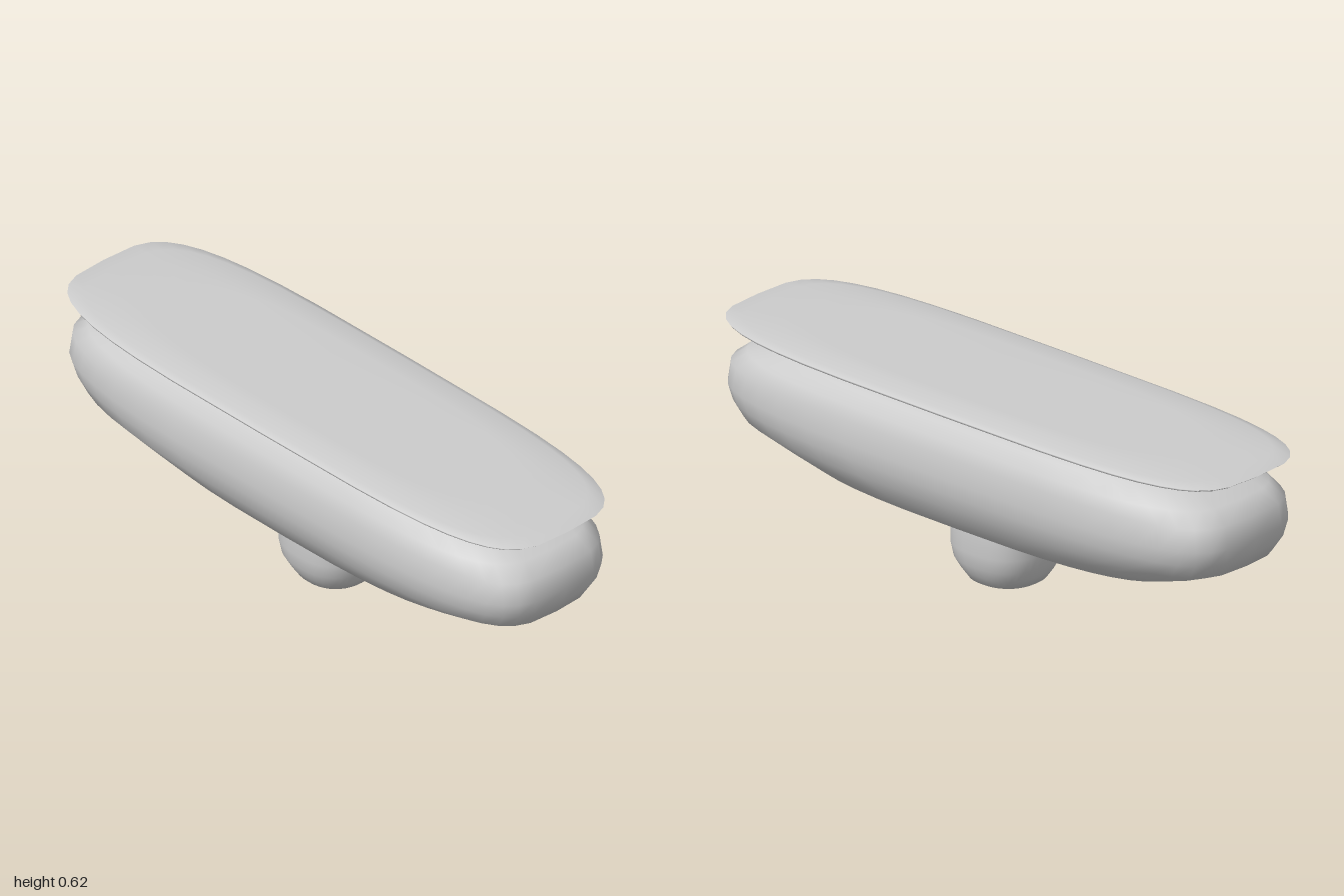
import * as THREE from 'three';

const SEGMENTS = 40;

// Stacks superellipse rings [y, halfX, halfZ, exponent] from bottom to top and closes both ends.
function loft(name, rings) {
  const positions = [], index = [];
  for (const [y, hx, hz, n] of rings) {
    for (let j = 0; j < SEGMENTS; j++) {
      const a = (j / SEGMENTS) * Math.PI * 2;
      const c = Math.cos(a), s = Math.sin(a);
      positions.push(
        hx * Math.sign(c) * Math.abs(c) ** (2 / n), y,
        hz * Math.sign(s) * Math.abs(s) ** (2 / n));
    }
  }
  for (let i = 0; i < rings.length - 1; i++) {
    for (let j = 0; j < SEGMENTS; j++) {
      const k = (j + 1) % SEGMENTS;
      const a = i * SEGMENTS + j, b = i * SEGMENTS + k;
      const c = a + SEGMENTS, d = b + SEGMENTS;
      index.push(a, c, b, b, c, d);
    }
  }
  // End faces
  const last = (rings.length - 1) * SEGMENTS;
  const bottom = positions.length / 3, top = bottom + 1;
  positions.push(0, rings[0][0], 0, 0, rings[rings.length - 1][0], 0);
  for (let j = 0; j < SEGMENTS; j++) {
    const k = (j + 1) % SEGMENTS;
    index.push(bottom, j, k, top, last + k, last + j);
  }
  const geometry = new THREE.BufferGeometry();
  geometry.setAttribute('position', new THREE.Float32BufferAttribute(positions, 3));
  geometry.setIndex(index);
  geometry.computeVertexNormals();
  const mesh = new THREE.Mesh(geometry, new THREE.MeshStandardMaterial({ color: 0xcccccc }));
  mesh.name = name;
  return mesh;
}

export function createModel() {
  const model = new THREE.Group();
  model.name = 'model';

  // Short foot, narrowing to the ground
  model.add(loft('foot', [
    [0, 0.113, 0.113, 2.3],
    [0.03, 0.132, 0.132, 2.4],
    [0.065, 0.15, 0.15, 2.5],
    [0.11, 0.157, 0.157, 2.6],
    [0.17, 0.157, 0.157, 2.6],
    [0.23, 0.154, 0.154, 2.6],
  ]));

  // Long pillowy body with a flat underside
  model.add(loft('body', [
    [0.208, 0.215, 0.72, 3],
    [0.25, 0.245, 0.84, 3.2],
    [0.3, 0.278, 0.95, 3.6],
    [0.35, 0.291, 0.98, 3.8],
    [0.4, 0.298, 0.99, 4],
    [0.47, 0.291, 0.98, 4],
    [0.51, 0.274, 0.93, 3.8],
    [0.55, 0.247, 0.82, 3.4],
    [0.587, 0.208, 0.67, 3],
  ]));

  // Thin lid with a tapered rim
  model.add(loft('lid', [
    [0.584, 0.215, 0.72, 3.4],
    [0.588, 0.265, 0.88, 3.8],
    [0.597, 0.294, 0.99, 4],
    [0.604, 0.296, 1, 4],
    [0.612, 0.276, 0.94, 3.9],
    [0.619, 0.225, 0.82, 3.6],
    [0.621, 0.19, 0.7, 3.4],
  ]));

  return model;
}
